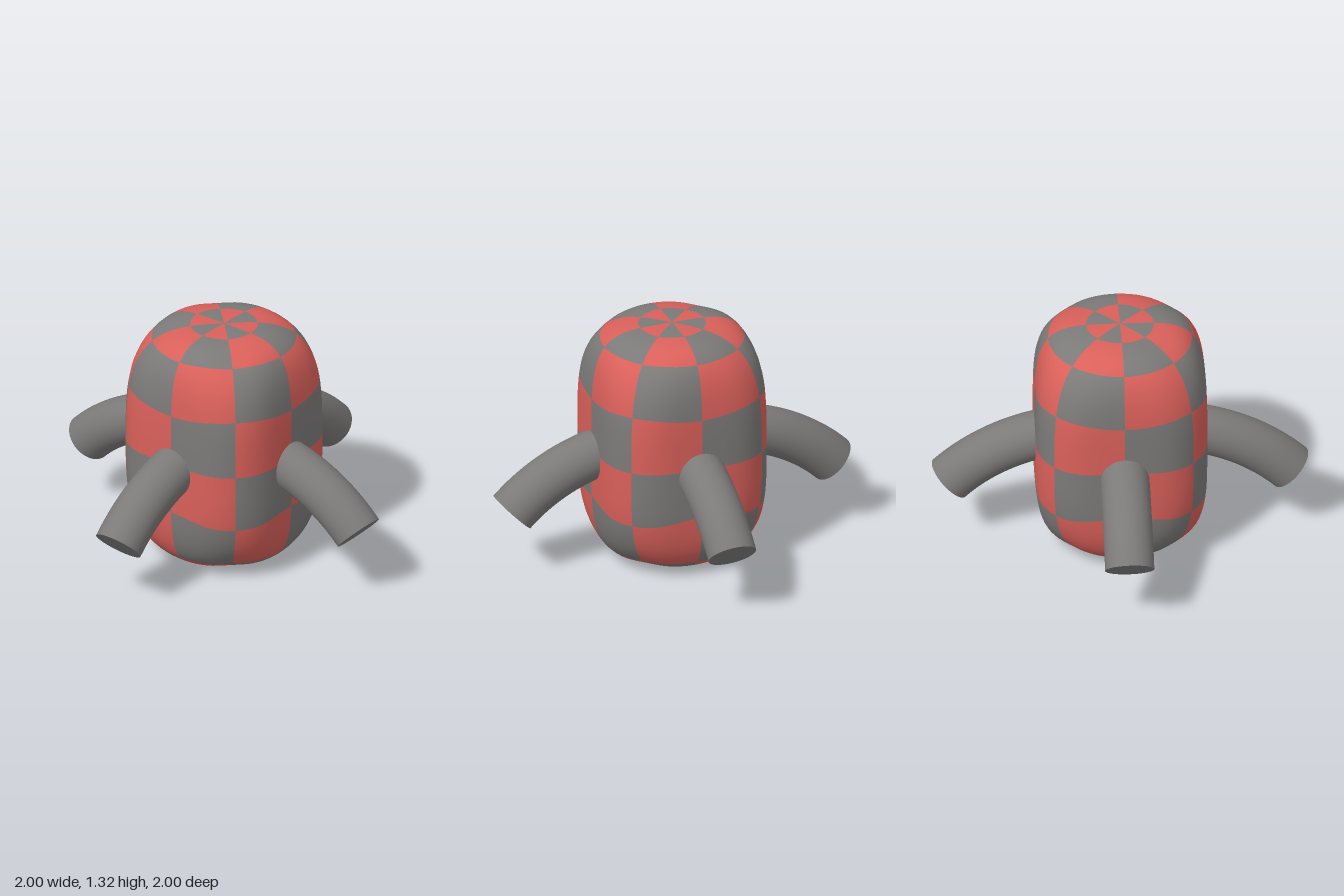
import * as THREE from 'three';
import { mergeVertices } from 'three/addons/utils/BufferGeometryUtils.js';

const HALF_WIDTH = 0.457, HALF_HEIGHT = 0.66;

// Rounded box swollen from a sphere, split into an 8 x 8 checker of two materials
function bodyGeometry() {
  let geo = new THREE.SphereGeometry(1, 64, 64);
  geo.deleteAttribute('uv');
  geo.deleteAttribute('normal');
  geo = mergeVertices(geo, 1e-5);
  const pos = geo.attributes.position;
  const v = new THREE.Vector3(), c = new THREE.Vector3();

  // Sort the triangles by checker tile
  const tiles = [[], []];
  const index = geo.index.array;
  for (let i = 0; i < index.length; i += 3) {
    const tri = [index[i], index[i + 1], index[i + 2]];
    c.set(0, 0, 0);
    for (const k of tri) c.add(v.fromBufferAttribute(pos, k));
    const sector = Math.floor(Math.atan2(c.x, c.z) / (Math.PI / 4)) + 8;
    const row = Math.floor(Math.atan2(c.y, Math.hypot(c.x, c.z)) / (Math.PI / 8)) + 4;
    tiles[(sector + row) % 2].push(...tri);
  }
  geo.setIndex([...tiles[0], ...tiles[1]]);
  geo.addGroup(0, tiles[0].length, 0);
  geo.addGroup(tiles[0].length, tiles[1].length, 1);

  // Push each vertex out to the rounded box, with softer upright corners
  for (let i = 0; i < pos.count; i++) {
    v.fromBufferAttribute(pos, i);
    v.y *= 1.05;
    const n = 4.5 - 1.2 * Math.sin(2 * Math.atan2(v.x, v.z)) ** 2;
    const size = (Math.abs(v.x) ** n + Math.abs(v.y) ** n + Math.abs(v.z) ** n) ** (1 / n);
    v.divideScalar(size);
    pos.setXYZ(i, v.x * HALF_WIDTH, v.y * HALF_HEIGHT, v.z * HALF_WIDTH);
  }
  geo.computeVertexNormals();
  return geo;
}

// Arc of an eighth turn in the xy plane, bending down to 45 degrees
class LegCurve extends THREE.Curve {
  getPoint(t, target = new THREE.Vector3()) {
    const a = t * Math.PI / 4;
    return target.set(0.2 + Math.sin(a), -0.35 + Math.cos(a), 0);
  }
}

export function createModel() {
  const grey = new THREE.MeshStandardMaterial({ color: 0x7c7a79 });
  grey.name = 'grey';
  const red = new THREE.MeshStandardMaterial({ color: 0xd9605a });
  red.name = 'red';

  const model = new THREE.Group();
  model.name = 'checkeredCreature';

  const body = new THREE.Mesh(bodyGeometry(), [grey, red]);
  body.name = 'body';
  body.position.y = HALF_HEIGHT;
  model.add(body);

  // Four curved legs with flat feet
  const radius = 0.131;
  const curve = new LegCurve();
  const legGeo = new THREE.TubeGeometry(curve, 24, radius, 40, false);
  const footGeo = new THREE.CircleGeometry(radius, 40);
  ['left', 'back', 'right', 'front'].forEach((side, i) => {
    const leg = new THREE.Group();
    leg.name = side + 'Leg';
    const tube = new THREE.Mesh(legGeo, grey);
    tube.name = side + 'LegTube';
    const foot = new THREE.Mesh(footGeo, grey);
    foot.name = side + 'Foot';
    foot.position.copy(curve.getPoint(1));
    foot.quaternion.setFromUnitVectors(
      new THREE.Vector3(0, 0, 1), new THREE.Vector3(1, -1, 0).normalize());
    leg.add(tube, foot);
    leg.rotation.y = i * Math.PI / 2;
    model.add(leg);
  });
  return model;
}
